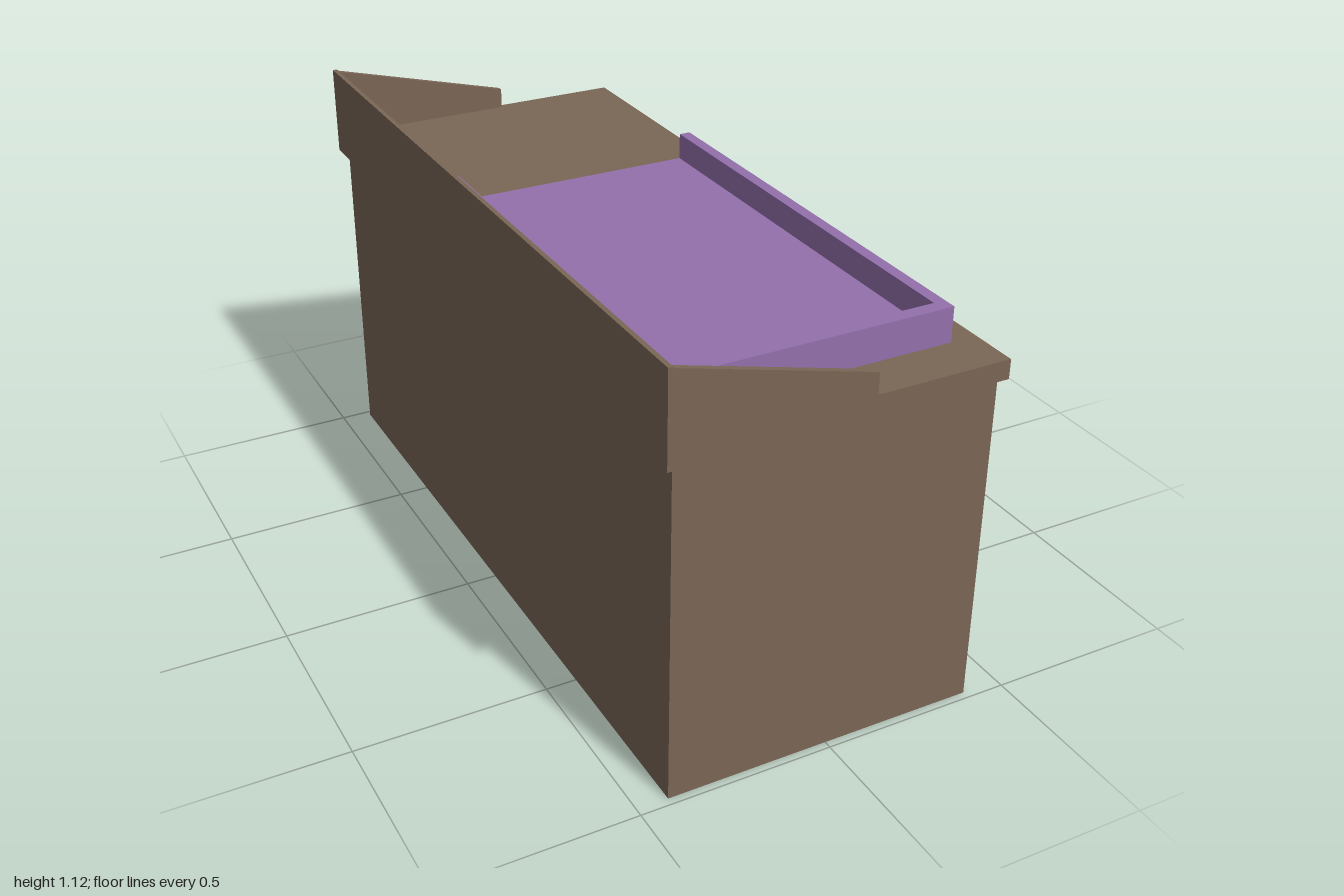
import * as THREE from 'three';

const wood = new THREE.MeshStandardMaterial({ color: 0x7a6655 });
const purple = new THREE.MeshStandardMaterial({ color: 0x9370ab });
const metal = new THREE.MeshStandardMaterial({ color: 0xcccccc, flatShading: true });

export function createModel() {
  const model = new THREE.Group();
  model.name = 'changingTable';

  const add = (name, geometry, material) => {
    const mesh = new THREE.Mesh(geometry, material);
    mesh.name = name;
    model.add(mesh);
    return mesh;
  };
  // Box given by its limits on each axis
  const box = (name, material, [x0, x1], [y0, y1], [z0, z1]) => {
    const mesh = add(name, new THREE.BoxGeometry(x1 - x0, y1 - y0, z1 - z0), material);
    mesh.position.set((x0 + x1) / 2, (y0 + y1) / 2, (z0 + z1) / 2);
    return mesh;
  };
  // Profile in x and y, extruded from z0 towards +z
  const prism = (name, material, points, z0, depth) => {
    const shape = new THREE.Shape(points.map(([x, y]) => new THREE.Vector2(x, y)));
    const geometry = new THREE.ExtrudeGeometry(shape, { depth, bevelEnabled: false });
    return add(name, geometry.translate(0, 0, z0), material);
  };
  const knob = (name, y, z) => {
    const geometry = new THREE.CylinderGeometry(0.02, 0.02, 0.042, 10).rotateZ(Math.PI / 2);
    add(name, geometry, metal).position.set(0.421, y, z);
  };

  // Cabinet and worktop
  box('cabinet', wood, [-0.42, 0.4], [0, 0.88], [-0.98, 0.98]);
  box('worktop', wood, [-0.43, 0.415], [0.88, 0.93], [-1, 1]);

  // Drawers and door with their knobs
  for (let i = 0; i < 3; i++) {
    const y = 0.03 + i * 0.275;
    box('drawerFront', wood, [0.39, 0.405], [y, y + 0.27], [-0.275, 0.895]);
    knob('drawerKnob', 0.16 + i * 0.266, 0.355);
  }
  box('door', wood, [0.39, 0.405], [0.03, 0.85], [-0.92, -0.41]);
  knob('doorKnob', 0.675, -0.5);

  // Back guard and sloping side guards
  box('backGuard', wood, [-0.442, -0.43], [0.88, 1.12], [-1, 1]);
  const guard = [[-0.43, 0.93], [0.065, 0.93], [0.065, 0.985], [-0.43, 1.117]];
  for (const z of [-1, 0.985]) prism('sideGuard', wood, guard, z, 0.015);

  // Changing tray: floor, two rails and an end wall sloping inwards
  box('trayFloor', purple, [-0.37, 0.345], [0.93, 0.95], [-0.335, 0.875]);
  box('trayRail', purple, [-0.37, -0.338], [0.95, 1.02], [-0.335, 0.875]);
  box('trayRail', purple, [0.315, 0.345], [0.95, 1.02], [-0.335, 0.875]);
  // Drawn with -z along the profile's x, then turned to run along x
  const end = prism('trayEnd', purple,
    [[-0.875, 0.95], [-0.8, 0.95], [-0.84, 1.02], [-0.875, 1.02]], -0.338, 0.653);
  end.geometry.rotateY(Math.PI / 2);

  return model;
}
